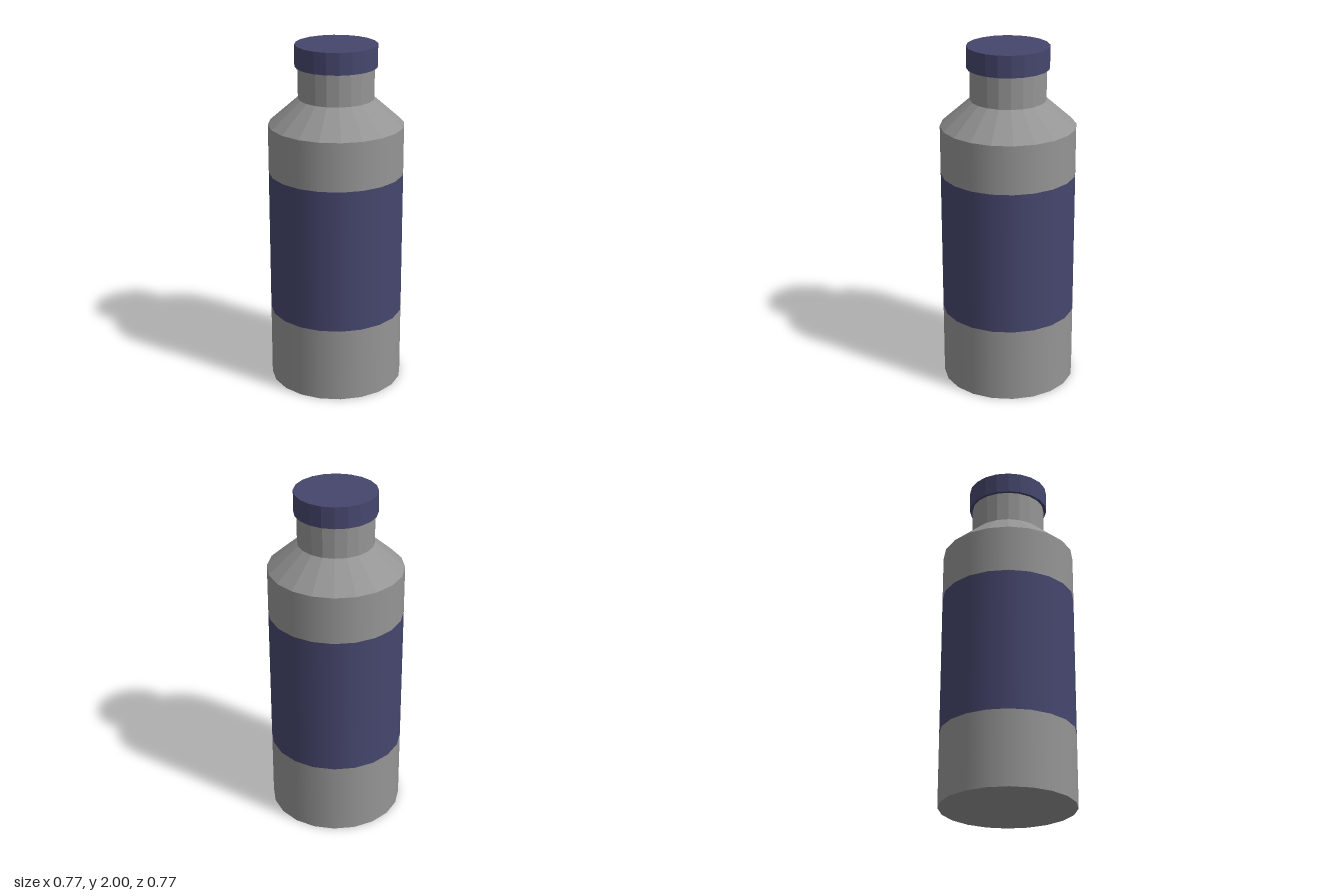
import * as THREE from 'three';

const SIDES = 20;

export function createModel() {
  const bottle = new THREE.Group();
  bottle.name = 'bottle';

  const material = (color, flatShading) => new THREE.MeshStandardMaterial({ color, flatShading });
  const smoothGrey = material(0x959595, false);
  const facetGrey = material(0x959595, true);
  const smoothBlue = material(0x46466e, false);
  const facetBlue = material(0x46466e, true);

  // One round section between two heights
  function section(name, y0, y1, r0, r1, mat, open = true) {
    const geometry = new THREE.CylinderGeometry(r1, r0, y1 - y0, SIDES, 1, open);
    const mesh = new THREE.Mesh(geometry, mat);
    mesh.name = name;
    mesh.position.y = (y0 + y1) / 2;
    bottle.add(mesh);
  }

  // Straight body with a coloured band
  section('lowerBody', 0, 0.432, 0.385, 0.385, smoothGrey);
  section('labelBand', 0.432, 1.266, 0.385, 0.385, smoothBlue);
  section('upperBody', 1.266, 1.545, 0.385, 0.385, smoothGrey);

  // Closed base disc, facing down
  const base = new THREE.Mesh(new THREE.CircleGeometry(0.385, SIDES), smoothGrey);
  base.name = 'base';
  base.rotation.x = Math.PI / 2;
  bottle.add(base);

  // Sloped shoulder, neck and overhanging cap
  section('shoulder', 1.545, 1.695, 0.385, 0.215, facetGrey);
  section('neck', 1.695, 1.876, 0.215, 0.215, facetGrey);
  section('cap', 1.876, 2, 0.2325, 0.2325, facetBlue, false);

  return bottle;
}
